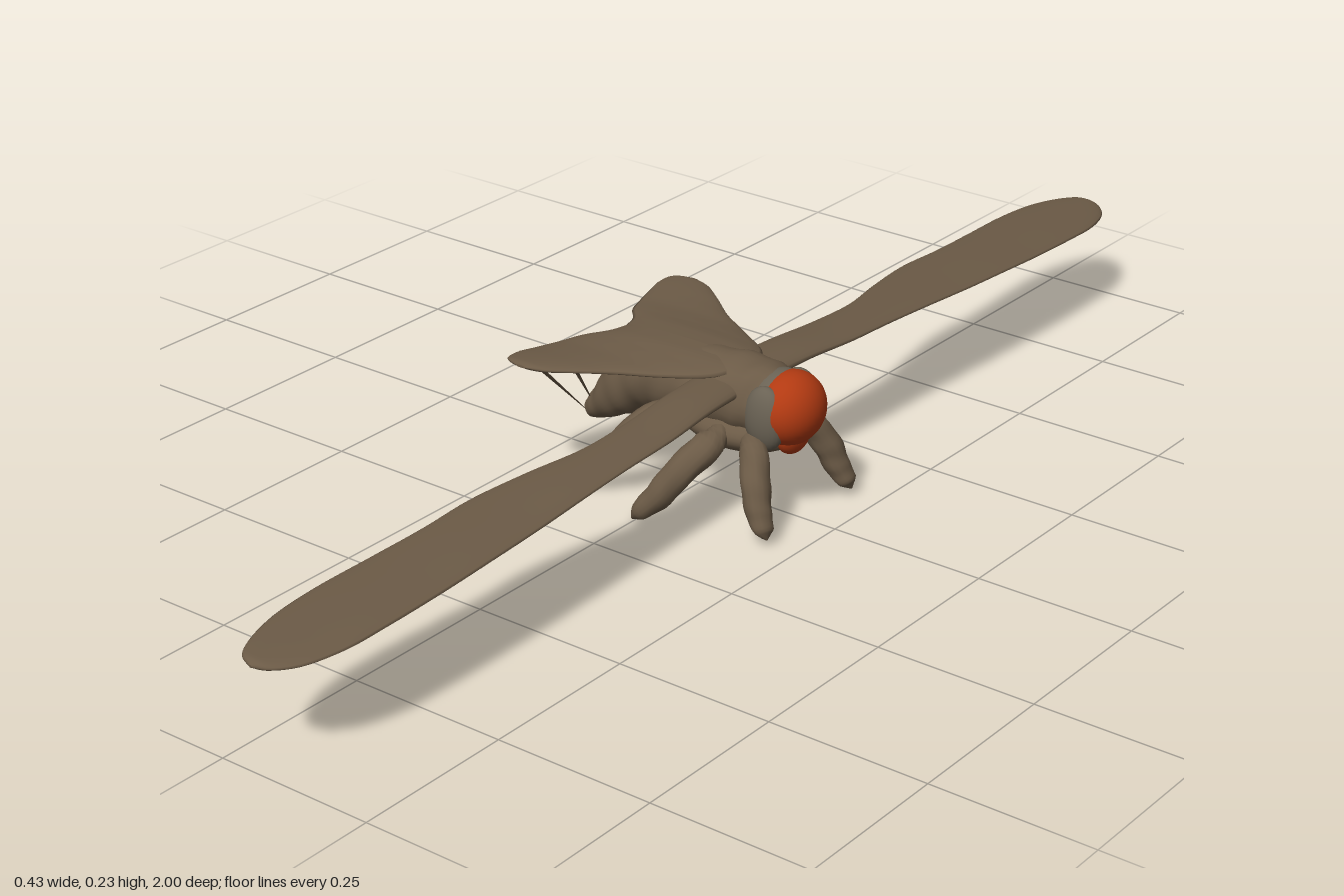
import * as THREE from 'three';

const material = (name, color) => {
  const m = new THREE.MeshStandardMaterial({ color });
  m.name = name;
  return m;
};

// Smooth tapered form through stations [x, y, z, radius in height, radius in width]
function loft(stations, steps = 40, sides = 20, lump = 0.04) {
  const path = new THREE.CatmullRomCurve3(stations.map(s => new THREE.Vector3(s[0], s[1], s[2])));
  const sizes = new THREE.CatmullRomCurve3(stations.map(s => new THREE.Vector3(s[3], s[4], 0)));
  const pos = [], idx = [];
  const zAxis = new THREE.Vector3(0, 0, 1);
  for (let i = 0; i <= steps; i++) {
    const t = i / steps;
    const c = path.getPoint(t), r = sizes.getPoint(t), tan = path.getTangent(t);
    const up = new THREE.Vector3().crossVectors(zAxis, tan).normalize();
    const side = new THREE.Vector3().crossVectors(tan, up).normalize();
    for (let j = 0; j < sides; j++) {
      const a = (j / sides) * Math.PI * 2;
      const k = 1 + lump * Math.sin(i * 0.9 + 3 * a) * Math.cos(i * 0.37 - 2 * a);
      const p = c.clone()
        .addScaledVector(up, Math.cos(a) * Math.max(r.x, 0.001) * k)
        .addScaledVector(side, Math.sin(a) * Math.max(r.y, 0.001) * k);
      pos.push(p.x, p.y, p.z);
    }
  }
  for (let i = 0; i < steps; i++) for (let j = 0; j < sides; j++) {
    const a = i * sides + j, b = i * sides + (j + 1) % sides;
    idx.push(a, b, a + sides, b, b + sides, a + sides);
  }
  return finish(pos, idx);
}

function finish(pos, idx) {
  const g = new THREE.BufferGeometry();
  g.setAttribute('position', new THREE.Float32BufferAttribute(pos, 3));
  g.setIndex(idx);
  g.computeVertexNormals();
  return g;
}

// Thin wing from spanwise sections [z, xMin, xMax, y, half thickness]
function wingGeometry(sections, slope, sign, sides = 20) {
  const curveA = new THREE.CatmullRomCurve3(sections.map(s => new THREE.Vector3(s[1], s[2], s[0])));
  const curveB = new THREE.CatmullRomCurve3(sections.map(s => new THREE.Vector3(s[3], s[4], 0)));
  const steps = 60, pos = [], idx = [];
  const n = sections.length - 1;
  for (let i = 0; i <= steps; i++) {
    const a = curveA.getPoint(i / steps), b = curveB.getPoint(i / steps);
    const mid = (a.x + a.y) / 2, half = Math.max((a.y - a.x) / 2, 0.001);
    for (let j = 0; j < sides; j++) {
      const q = (j / sides) * Math.PI * 2;
      const dx = Math.cos(q) * half;
      pos.push(mid + dx, b.x + slope * dx + Math.sin(q) * b.y, sign * a.z);
    }
  }
  for (let i = 0; i < steps; i++) for (let j = 0; j < sides; j++) {
    const a = i * sides + j, b = i * sides + (j + 1) % sides;
    if (sign > 0) idx.push(a, b, a + sides, b, b + sides, a + sides);
    else idx.push(a, a + sides, b, b, a + sides, b + sides);
  }
  return finish(pos, idx);
}

export function createModel() {
  const model = new THREE.Group();
  model.name = 'flyingInsect';
  const brown = material('brown', 0x6b5a46);
  const grey = material('greyBrown', 0x6a6254);
  const red = material('orangeRed', 0xb23a12);
  const add = (name, geometry, mat, parent = model) => {
    const mesh = new THREE.Mesh(geometry, mat);
    mesh.name = name;
    parent.add(mesh);
    return mesh;
  };

  // Thorax and drooping abdomen in one tapering form
  add('body', loft([
    [-0.214, 0.066, 0, 0.001, 0.001], [-0.205, 0.07, 0, 0.016, 0.018], [-0.18, 0.088, 0, 0.026, 0.03],
    [-0.14, 0.122, 0, 0.043, 0.042], [-0.09, 0.157, 0, 0.05, 0.05], [-0.03, 0.172, 0, 0.056, 0.058],
    [0.04, 0.178, 0, 0.057, 0.065], [0.1, 0.177, 0, 0.059, 0.062], [0.145, 0.172, 0, 0.057, 0.054],
    [0.17, 0.172, 0, 0.03, 0.03],
  ], 56, 28), brown);

  // Underside where the legs meet
  const chest = add('chest', new THREE.SphereGeometry(1, 28, 18), brown);
  chest.scale.set(0.1, 0.035, 0.07);
  chest.position.set(0.08, 0.13, 0);

  // Head: grey collar, eye cap over the front, and muzzle below
  const collar = add('headCollar', new THREE.SphereGeometry(1, 32, 24), grey);
  collar.scale.set(0.05, 0.059, 0.058);
  collar.position.set(0.15, 0.172, 0);
  const eye = add('eyeCap', new THREE.SphereGeometry(1, 32, 24), red);
  eye.scale.set(0.05, 0.056, 0.06);
  eye.position.set(0.167, 0.176, 0);
  const muzzle = add('muzzle', new THREE.SphereGeometry(1, 24, 18), red);
  muzzle.scale.set(0.022, 0.035, 0.035);
  muzzle.position.set(0.172, 0.14, 0);
  // Grey cheeks cover the rear sides of the eye cap
  for (const s of [1, -1]) {
    const cheek = add(s > 0 ? 'leftCheek' : 'rightCheek', new THREE.SphereGeometry(1, 24, 18), grey);
    cheek.scale.set(0.036, 0.05, 0.022);
    cheek.position.set(0.153, 0.17, s * 0.042);
  }

  // Long narrow fore wings
  const foreWing = [
    [0.03, 0.03, 0.11, 0.2, 0.014], [0.12, 0.035, 0.115, 0.2, 0.011], [0.22, 0.04, 0.122, 0.195, 0.008],
    [0.32, 0.04, 0.124, 0.191, 0.007], [0.42, 0.022, 0.128, 0.187, 0.007], [0.52, 0.008, 0.132, 0.182, 0.007],
    [0.62, 0.009, 0.135, 0.178, 0.007], [0.72, 0.004, 0.136, 0.173, 0.007], [0.82, 0, 0.135, 0.169, 0.007],
    [0.9, 0.004, 0.13, 0.165, 0.007], [0.96, 0.02, 0.112, 0.162, 0.007], [0.99, 0.038, 0.088, 0.161, 0.006],
    [1.0, 0.06, 0.064, 0.16, 0.002],
  ];
  // Broad swept hind wings
  const hindWing = [
    [0, -0.14, 0.1, 0.223, 0.012], [0.03, -0.15, 0.09, 0.222, 0.012], [0.06, -0.175, 0.07, 0.219, 0.011],
    [0.1, -0.192, 0.01, 0.217, 0.009], [0.135, -0.202, -0.05, 0.218, 0.008], [0.17, -0.21, -0.095, 0.22, 0.007],
    [0.195, -0.205, -0.13, 0.221, 0.006], [0.206, -0.18, -0.16, 0.222, 0.002],
  ];
  // Legs: front, middle and rear, listed for the +z side
  const legs = {
    frontLeg: [[0.12, 0.13, 0.03, 0.018, 0.018], [0.15, 0.122, 0.065, 0.022, 0.021], [0.17, 0.085, 0.088, 0.022, 0.022],
      [0.184, 0.05, 0.098, 0.019, 0.02], [0.198, 0.026, 0.104, 0.013, 0.016], [0.205, 0.014, 0.106, 0.001, 0.001]],
    middleLeg: [[0.08, 0.13, 0.04, 0.018, 0.018], [0.082, 0.122, 0.09, 0.024, 0.02], [0.06, 0.088, 0.125, 0.023, 0.021],
      [0.035, 0.05, 0.142, 0.021, 0.02], [0.008, 0.02, 0.152, 0.015, 0.016], [-0.006, 0.004, 0.155, 0.001, 0.001]],
    rearLeg: [[0, 0.14, 0.035, 0.018, 0.018], [-0.035, 0.128, 0.075, 0.022, 0.02], [-0.065, 0.09, 0.105, 0.022, 0.021],
      [-0.1, 0.055, 0.122, 0.018, 0.02], [-0.135, 0.028, 0.13, 0.013, 0.016], [-0.156, 0.018, 0.132, 0.001, 0.001]],
  };

  for (const s of [1, -1]) {
    const side = new THREE.Group();
    side.name = s > 0 ? 'leftSide' : 'rightSide';
    model.add(side);
    add('foreWing', wingGeometry(foreWing, -0.06, s), brown, side).material.side = THREE.DoubleSide;
    add('hindWing', wingGeometry(hindWing, 0, s), brown, side);
    for (const [name, st] of Object.entries(legs))
      add(name, loft(st.map(p => [p[0], p[1], p[2] * s, p[3], p[4]]), 26, 16, 0.06), brown, side);

    // Slender struts from the hind wing edge down to the tail
    const struts = [
      [[-0.2, 0.22, 0.165], [-0.214, 0.066, 0.006], 0.009],
      [[-0.17, 0.218, 0.11], [-0.198, 0.09, 0.012], 0.008],
    ];
    for (const [a, b, r] of struts) {
      const top = new THREE.Vector3(a[0], a[1], a[2] * s), tip = new THREE.Vector3(b[0], b[1], b[2] * s);
      const strut = add('wingStrut', new THREE.CylinderGeometry(r, 0.001, top.distanceTo(tip), 6), brown, side);
      strut.scale.z = 0.4;
      strut.position.copy(top).add(tip).multiplyScalar(0.5);
      strut.quaternion.setFromUnitVectors(new THREE.Vector3(0, 1, 0), top.sub(tip).normalize());
    }
  }
  return model;
}
